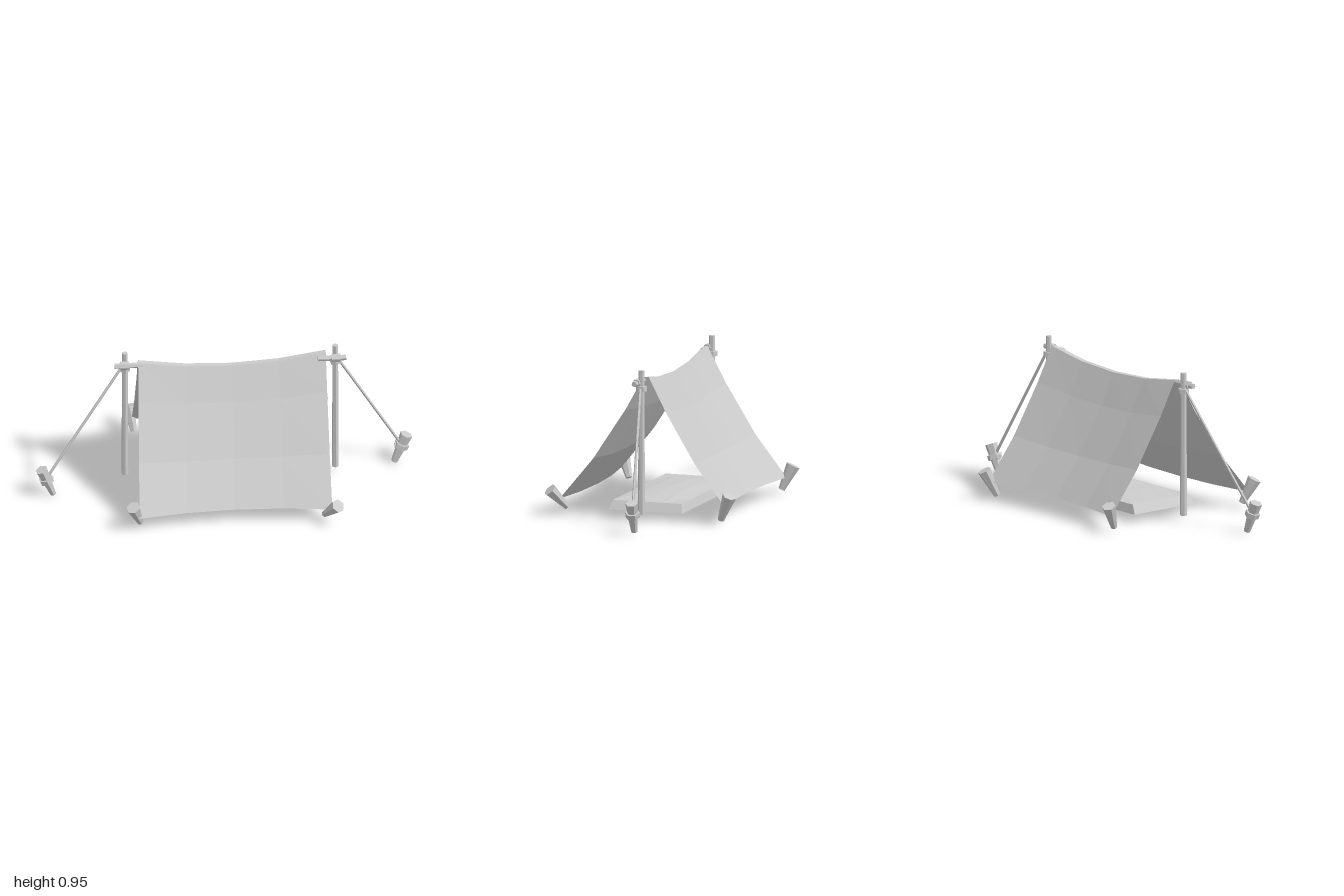
import * as THREE from 'three';

const V = (x, y, z) => new THREE.Vector3(x, y, z);
const material = new THREE.MeshStandardMaterial({ color: 0xcccccc, flatShading: true });
const clothMaterial = new THREE.MeshStandardMaterial({ color: 0xcccccc, flatShading: true, side: THREE.DoubleSide });

// Tapered six-sided bar between two points
function bar(name, from, to, r0, r1 = r0, sides = 6) {
  const dir = to.clone().sub(from);
  const mesh = new THREE.Mesh(new THREE.CylinderGeometry(r1, r0, dir.length(), sides), material);
  mesh.position.copy(from).add(to).multiplyScalar(0.5);
  mesh.quaternion.setFromUnitVectors(V(0, 1, 0), dir.normalize());
  mesh.name = name;
  return mesh;
}

// Ridge runs diagonally from the front pole to the back pole
const poleFeet = [V(-0.44, 0.05, 0.46), V(0.37, 0.05, -0.555)];
const along = poleFeet[1].clone().sub(poleFeet[0]).setY(0).normalize();
const across = V(-along.z, 0, along.x);

// Cloth: sagging ridge, concave slopes and hems that curve inward
function createCloth() {
  const ridge = [V(-0.38, 0.89, 0.405), V(0.325, 0.9, -0.515)];
  const hems = [
    [V(0.04, 0.1, 0.775), V(0.77, 0.105, -0.165)],
    [V(-0.795, 0.105, 0.08), V(-0.075, 0.115, -0.84)],
  ];
  const rows = [-1, -0.6, -0.22, 0, 0, 0.22, 0.6, 1];
  const columns = 4;
  const positions = [], index = [];
  rows.forEach((row, i) => {
    const side = i < 4 ? -1 : 1;
    const t = Math.abs(row);
    const hem = hems[side > 0 ? 0 : 1];
    for (let j = 0; j <= columns; j++) {
      const s = j / columns;
      const bow = 4 * s * (1 - s);
      const top = ridge[0].clone().lerp(ridge[1], s).addScaledVector(across, side * 0.016);
      top.y -= 0.058 * bow;
      const bottom = hem[0].clone().lerp(hem[1], s).addScaledVector(across, -side * 0.05 * bow);
      const p = top.lerp(bottom, t);
      p.y -= 0.22 * t * (1 - t);
      positions.push(p.x, p.y, p.z);
      if (i > 0 && j > 0) {
        const d = i * (columns + 1) + j, b = d - columns - 1;
        index.push(b - 1, d - 1, d, b - 1, d, b);
      }
    }
  });
  const geometry = new THREE.BufferGeometry();
  geometry.setAttribute('position', new THREE.Float32BufferAttribute(positions, 3));
  geometry.setIndex(index);
  geometry.computeVertexNormals();
  const mesh = new THREE.Mesh(geometry, clothMaterial);
  mesh.name = 'tentCloth';
  return mesh;
}

// Sleeping mat: low slab with sloped edges and a hollowed underside
function createMat() {
  const geometry = new THREE.BoxGeometry(0.48, 0.06, 1.04, 4, 1, 4);
  const p = geometry.attributes.position;
  for (let i = 0; i < p.count; i++) {
    const x = p.getX(i), z = p.getZ(i), top = p.getY(i) > 0;
    const dome = (1 - (x / 0.24) ** 2) * (1 - (z / 0.52) ** 2);
    const inset = top ? 0.93 : 1;
    p.setXYZ(i, x * inset, (top ? 0.11 : 0.055) + 0.025 * dome, z * inset);
  }
  geometry.computeVertexNormals();
  const mesh = new THREE.Mesh(geometry, material);
  mesh.position.set(0, 0, -0.09);
  mesh.rotation.y = Math.atan2(along.x, along.z);
  mesh.name = 'sleepingMat';
  return mesh;
}

export function createModel() {
  const model = new THREE.Group();
  model.name = 'ridgeTent';
  model.add(createCloth(), createMat());

  // Poles with lashed crossbars, guy ropes and their stakes
  const guyStakes = [
    [V(-0.617, 0.01, 0.895), V(-0.652, 0.2, 0.96)],
    [V(0.535, 0.01, -0.895), V(0.575, 0.2, -0.96)],
  ];
  poleFeet.forEach((foot, i) => {
    const end = new THREE.Group();
    end.name = i ? 'backPoleSet' : 'frontPoleSet';
    const inward = along.clone().multiplyScalar(i ? -1 : 1);
    const tip = foot.clone().setY(0.95);
    end.add(bar('pole', foot, tip, 0.022, 0.018));

    const joint = foot.clone().setY(0.872).addScaledVector(across, 0.025);
    end.add(bar('crossbar',
      joint.clone().addScaledVector(inward, -0.065),
      joint.clone().addScaledVector(inward, 0.11), 0.017));
    end.add(bar('poleLashing', foot.clone().setY(0.822), foot.clone().setY(0.852), 0.034));
    end.add(bar('crossbarLashing',
      joint.clone().addScaledVector(inward, -0.03),
      joint.clone().addScaledVector(inward, 0.025), 0.026));

    const [low, high] = guyStakes[i];
    const tie = low.clone().lerp(high, 0.62);
    end.add(bar('guyRope', foot.clone().setY(0.845).addScaledVector(inward, -0.02), tie, 0.009, 0.009, 5));
    end.add(bar('guyStake', low, high, 0.02, 0.04));
    end.add(bar('stakeLashing', low.clone().lerp(high, 0.52), low.clone().lerp(high, 0.68), 0.046));
    const knot = tie.clone().addScaledVector(inward, 0.045);
    end.add(bar('ropeKnot', knot, tie, 0.018, 0.022));
    model.add(end);
  });

  // Corner stakes leaning away from the cloth
  [
    [V(0.005, 0.04, 0.735), V(0.02, 0.19, 0.81)],
    [V(0.715, 0.05, -0.15), V(0.83, 0.165, -0.16)],
    [V(-0.765, 0.03, 0.09), V(-0.835, 0.18, 0.072)],
    [V(-0.065, 0.03, -0.79), V(-0.095, 0.19, -0.865)],
  ].forEach(([low, high]) => model.add(bar('cornerStake', low, high, 0.02, 0.044)));

  return model;
}
